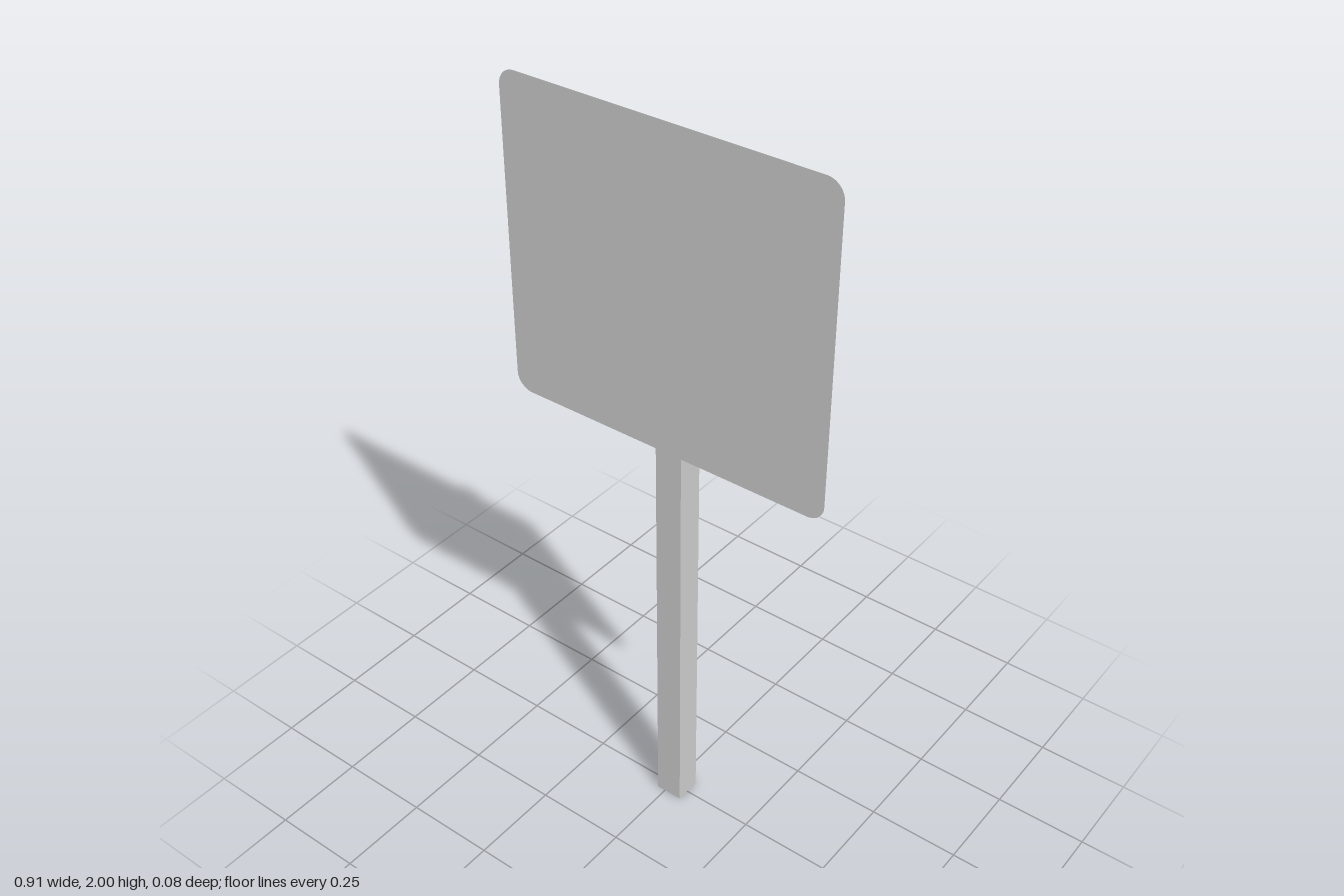
import * as THREE from 'three';

// Flat rounded rectangle centred on the origin
function roundedRect(w, h, r) {
  const x = w / 2, y = h / 2;
  const s = new THREE.Shape();
  s.moveTo(-x + r, -y);
  s.lineTo(x - r, -y);
  s.absarc(x - r, -y + r, r, -Math.PI / 2, 0);
  s.lineTo(x, y - r);
  s.absarc(x - r, y - r, r, 0, Math.PI / 2);
  s.lineTo(-x + r, y);
  s.absarc(-x + r, y - r, r, Math.PI / 2, Math.PI);
  s.lineTo(-x, -y + r);
  s.absarc(-x + r, -y + r, r, Math.PI, Math.PI * 1.5);
  return s;
}

export function createModel() {
  const group = new THREE.Group();
  group.name = 'signpost';

  // Square post, slightly off centre behind the panel
  const postHeight = 1.805;
  const post = new THREE.Mesh(
    new THREE.BoxGeometry(0.075, postHeight, 0.073),
    new THREE.MeshStandardMaterial({ color: 0xcccccc })
  );
  post.name = 'post';
  post.position.set(0.0135, postHeight / 2, -0.002);
  group.add(post);

  // Paper-thin sign panel just in front of the post
  const panel = new THREE.Mesh(
    new THREE.ShapeGeometry(roundedRect(0.906, 0.842, 0.045), 6),
    new THREE.MeshStandardMaterial({ color: 0xcccccc, side: THREE.DoubleSide })
  );
  panel.name = 'signPanel';
  panel.position.set(0, 1.579, 0.0385);
  group.add(panel);

  return group;
}
